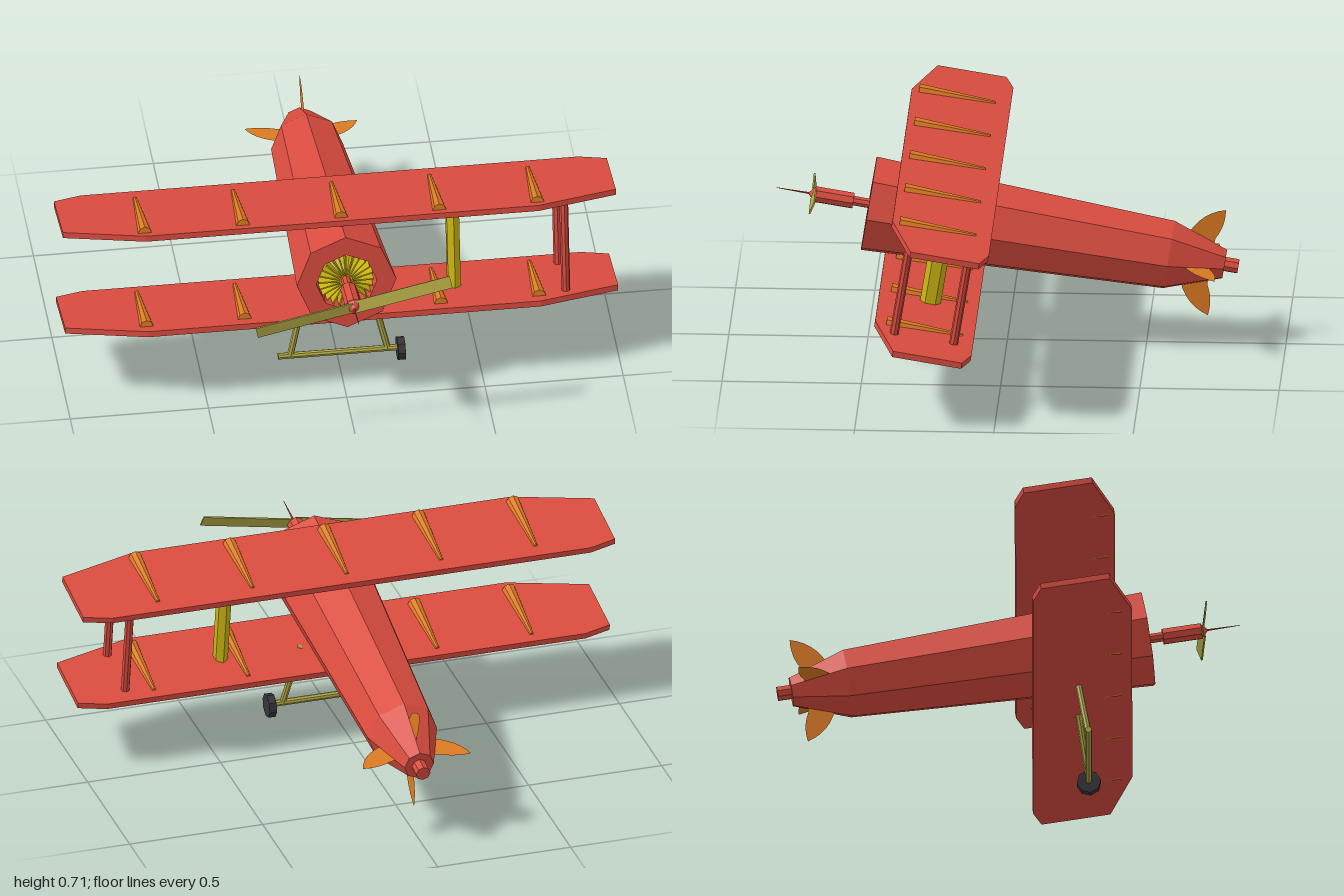
import * as THREE from 'three';

const mat = (color, side = THREE.FrontSide) =>
  new THREE.MeshStandardMaterial({ color, flatShading: true, side });

export function createModel() {
  const model = new THREE.Group();
  model.name = 'biplane';
  // Everything is built level, then pitched nose-up
  const plane = new THREE.Group();
  plane.name = 'airframe';
  plane.position.y = 0.428;
  plane.rotation.x = -0.162;
  model.add(plane);

  const red = mat(0xdb4c3f), orange = mat(0xdd7b22), yellow = mat(0xc9b312);
  const brass = mat(0xb3a845), dark = mat(0x34343a);
  const orangeThin = mat(0xdd7b22, THREE.DoubleSide);

  const add = (name, geometry, material, parent = plane) => {
    const mesh = new THREE.Mesh(geometry, material);
    mesh.name = name;
    parent.add(mesh);
    return mesh;
  };
  // Round bar from a to b with its own radius at each end
  const bar = (name, a, b, r0, r1, sides, material) => {
    const p = new THREE.Vector3(...a), q = new THREE.Vector3(...b);
    const mesh = add(name, new THREE.CylinderGeometry(r1, r0, p.distanceTo(q), sides), material);
    mesh.position.copy(p).lerp(q, 0.5);
    mesh.quaternion.setFromUnitVectors(new THREE.Vector3(0, 1, 0), q.sub(p).normalize());
    return mesh;
  };

  // Eight-sided fuselage with tail cone, tail nub and open nose
  const profile = [[0, -0.84], [0.027, -0.84], [0.027, -0.79], [0.055, -0.79], [0.13, -0.587],
    [0.18, 0.504], [0.11, 0.504], [0.105, 0.43], [0, 0.43]].map(p => new THREE.Vector2(...p));
  add('fuselage', new THREE.LatheGeometry(profile, 8).rotateX(Math.PI / 2), red);

  // Finned engine inside the nose
  const engine = new THREE.Group();
  engine.name = 'engine';
  engine.position.z = 0.46;
  plane.add(engine);
  add('engineCore', new THREE.CylinderGeometry(0.03, 0.095, 0.05, 24).rotateX(Math.PI / 2), yellow, engine);
  for (let i = 0; i < 24; i++) {
    const fin = add('engineFin', new THREE.BoxGeometry(0.075, 0.005, 0.05).translate(0.062, 0, 0.01), yellow, engine);
    fin.rotation.z = (i / 24) * Math.PI * 2;
  }

  // Propeller shaft, hub and needle
  bar('shaft', [0, 0, 0.43], [0, 0, 0.57], 0.018, 0.018, 8, red);
  bar('shaftSleeve', [0, 0, 0.56], [0, 0, 0.7], 0.03, 0.03, 8, red);
  bar('hubCone', [0, 0, 0.7], [0, 0, 0.722], 0.028, 0.004, 8, red);
  bar('noseNeedle', [0, 0, 0.71], [0, 0, 0.84], 0.004, 0.001, 6, red);

  // Two-bladed propeller
  const propeller = new THREE.Group();
  propeller.name = 'propeller';
  propeller.position.z = 0.705;
  propeller.rotation.z = 0.2;
  plane.add(propeller);
  for (const s of [1, -1]) {
    const blade = add('propellerBlade', new THREE.BoxGeometry(0.36, 0.045, 0.006), brass, propeller);
    blade.position.x = s * 0.18;
    blade.rotation.x = -s * 0.25;
  }

  // Wings with clipped tips, and tapered ribs on top
  const outline = [[0.71, 0.18], [1, 0.1], [1, -0.15], [0.9, -0.18]];
  const wingShape = new THREE.Shape([...outline, ...outline.map(([x, z]) => [-x, z]).reverse()]
    .map(p => new THREE.Vector2(...p)));
  for (const [name, y, shift] of [['upper', 0.192, 0], ['lower', -0.192, -0.015]]) {
    const geometry = new THREE.ExtrudeGeometry(wingShape, { depth: 0.022, bevelEnabled: false });
    geometry.rotateX(Math.PI / 2).translate(0, y + 0.011, 0.236);
    add(name + 'Wing', geometry, red);
    for (let i = -2; i <= 2; i++) {
      const x = i * 0.355;
      bar(name + 'WingRib', [x, y + 0.01, 0.112 + shift], [x, y + 0.01, 0.39 + shift], 0.008, 0.025, 8, orange);
    }
  }

  // Struts on the left side
  for (const z of [0.126, 0.342])
    bar('wingStrut', [0.81, -0.19, z], [0.81, 0.19, z], 0.016, 0.016, 8, red);
  const post = add('wingPost', new THREE.CylinderGeometry(0.0375, 0.0375, 0.36, 6), yellow);
  post.scale.x = 0.7;
  post.position.set(0.42, 0, 0.23);

  // Landing gear with a single wheel
  for (const s of [1, -1])
    bar('gearLeg', [s * 0.12, -0.18, 0.222], [s * 0.176, -0.42, 0.222], 0.012, 0.012, 8, brass);
  bar('axle', [-0.22, -0.42, 0.222], [0.22, -0.42, 0.222], 0.012, 0.012, 8, brass);
  bar('wheel', [0.21, -0.425, 0.222], [0.237, -0.425, 0.222], 0.044, 0.044, 8, dark);

  // Four thin swept tail fins
  const finShape = new THREE.Shape();
  finShape.moveTo(-0.62, 0.05);
  finShape.lineTo(-0.645, 0.095);
  finShape.quadraticCurveTo(-0.68, 0.18, -0.762, 0.203);
  finShape.quadraticCurveTo(-0.77, 0.14, -0.742, 0.09);
  finShape.lineTo(-0.74, 0.05);
  for (let i = 0; i < 4; i++) {
    const geometry = new THREE.ShapeGeometry(finShape, 6).rotateY(-Math.PI / 2);
    add('tailFin', geometry, orangeThin).rotation.z = i * Math.PI / 2;
  }
  return model;
}
